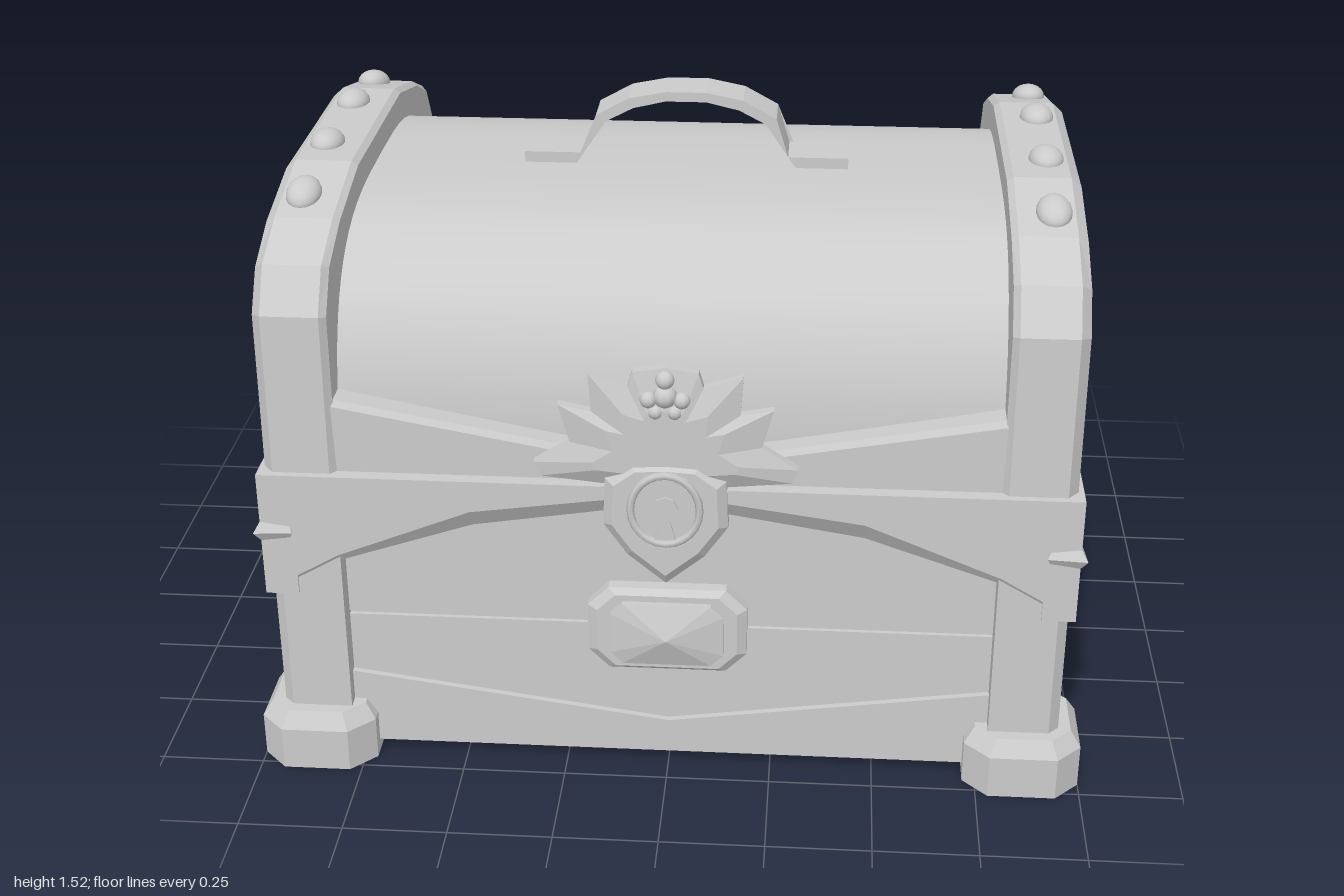
import * as THREE from 'three';
import { toCreasedNormals } from 'three/addons/utils/BufferGeometryUtils.js';

const grey = new THREE.MeshStandardMaterial({ color: 0xcccccc });

// Flat-shaded closed solid through rings of equal point count; winding is fixed by its volume.
function loft(rings) {
  const tris = [];
  const n = rings[0].length;
  for (let i = 0; i < rings.length - 1; i++) {
    for (let j = 0; j < n; j++) {
      const k = (j + 1) % n, a = rings[i], b = rings[i + 1];
      tris.push([a[j], a[k], b[k]], [a[j], b[k], b[j]]);
    }
  }
  const cap = (r, flip) => {
    const c = [0, 1, 2].map(d => r.reduce((s, p) => s + p[d], 0) / n);
    for (let j = 0; j < n; j++) {
      const k = (j + 1) % n;
      tris.push(flip ? [c, r[k], r[j]] : [c, r[j], r[k]]);
    }
  };
  cap(rings[0], true);
  cap(rings[rings.length - 1], false);
  const v = p => new THREE.Vector3(...p);
  const o = v(rings[0][0]);
  const volume = tris.reduce((s, t) => {
    const [a, b, c] = t.map(p => v(p).sub(o));
    return s + a.dot(b.cross(c));
  }, 0);
  const pos = tris.flatMap(t => (volume < 0 ? [t[0], t[2], t[1]] : t).flat());
  const g = new THREE.BufferGeometry();
  g.setAttribute('position', new THREE.Float32BufferAttribute(pos, 3));
  g.computeVertexNormals();
  return g;
}

// Band along x from stations [x, edge height, bevel]; the other edge is straight.
const band = (stations, straight, back, front) => loft(stations.map(([u, e, bev]) => [
  [u, straight, back], [u, straight, front], [u, e + bev, front],
  [u, e, front - Math.abs(bev) * 0.6], [u, e, back]]));

// Half list of stations mirrored to the full width.
const mirrored = half => [...half.map(([u, ...r]) => [-u, ...r]),
  ...half.filter(s => s[0] > 0).reverse()];

const octagon = (hx, hy, c) => [[hx - c, -hy], [hx, c - hy], [hx, hy - c], [hx - c, hy],
  [c - hx, hy], [-hx, hy - c], [-hx, c - hy], [c - hx, -hy]];

// Raised plate facing +z: outline rings as [scale, z], scaled about a centre height.
const plate = (pts, cy, levels) => loft(levels.map(([s, z]) =>
  pts.map(([x, y]) => [x * s, cy + (y - cy) * s, z])));

const symmetric = half => [...half, ...half.filter(p => p[0] > 0).reverse().map(([x, y]) => [-x, y])];

export function createModel() {
  const root = new THREE.Group();
  const add = (name, geo, x = 0, y = 0, z = 0, parent = root) => {
    const m = new THREE.Mesh(geo, grey);
    m.name = name;
    m.position.set(x, y, z);
    parent.add(m);
    return m;
  };
  const box = (w, h, d) => new THREE.BoxGeometry(w, h, d);

  // Planked body with a groove
  add('bodyCore', box(1.75, 0.74, 1.31), 0, 0.41, 0);
  add('lowerPlanks', box(1.77, 0.355, 1.33), 0, 0.2075, 0);
  add('upperPlanks', box(1.77, 0.395, 1.33), 0, 0.5925, 0);

  // Feet and corner posts
  for (const sx of [-1, 1]) for (const sz of [-1, 1]) {
    const ring = (h, y) => octagon(h, h, h * 0.42).map(([x, z]) => [x, y, z]);
    add('foot', loft([ring(0.14, 0), ring(0.14, 0.11), ring(0.115, 0.15)]), sx * 0.86, 0, sz * 0.63);
    const plan = [[0.775, 0.555], [0.945, 0.555], [0.945, 0.69], [0.92, 0.715], [0.775, 0.715]];
    add('cornerPost', loft([0.1, 0.79].map(y => plan.map(([x, z]) => [sx * x, y, sz * z]))));
  }

  // Upper trim bands
  const front = [[0.96, 0.47, 0.005], [0.78, 0.56, 0.02], [0.46, 0.66, 0.05], [0.14, 0.715, 0.04]];
  add('frontUpperTrim', band(mirrored(front), 0.79, 0.64, 0.72));
  add('backUpperTrim', band(mirrored([[0.78, 0.56, 0.03], ...front.slice(2)]), 0.79, 0.64, 0.715)).rotation.y = Math.PI;
  const side = mirrored([[0.56, 0.575, 0.02], [0, 0.72, 0.02]]);
  // Lower trim plates
  const skirt = (w, h, mid) => new THREE.ExtrudeGeometry(new THREE.Shape(
    [[-w, 0.03], [w, 0.03], [w, h], [0, mid], [-w, h]].map(p => new THREE.Vector2(...p))),
  { depth: 0.035, bevelEnabled: false });
  for (const s of [-1, 1]) {
    add('sideUpperTrim', band(side, 0.79, 0.86, 0.94)).rotation.y = s * Math.PI / 2;
    add('sideLowerTrim', skirt(0.57, 0.21, 0.10), s * 0.865).rotation.y = s * Math.PI / 2;
    add('endLowerTrim', skirt(0.78, 0.23, 0.12), 0, 0, s * 0.645).rotation.y = s > 0 ? 0 : Math.PI;
    // Front corner wrap and stud
    add('cornerWrap', loft([0.88, 0.96].map(x => [[0.55, 0.79], [0.72, 0.79], [0.72, 0.47], [0.55, 0.585]]
      .map(([z, y]) => [s * x, y, z]))));
    const stud = add('cornerStud', new THREE.OctahedronGeometry(1).toNonIndexed(), s * 0.925, 0.64, 0.685);
    stud.geometry.computeVertexNormals();
    stud.scale.set(0.06, 0.085, 0.07);
    stud.rotation.y = s * Math.PI / 4;
  }

  // Barrel lid
  const profile = [];
  for (let i = 0; i <= 32; i++) {
    const t = Math.PI * i / 32, c = Math.cos(t);
    profile.push(new THREE.Vector2(0.645 * Math.sign(c) * Math.abs(c) ** 0.6,
      0.795 + 0.535 * Math.max(0, Math.sin(t)) ** 0.75));
  }
  const barrel = new THREE.ExtrudeGeometry(new THREE.Shape(profile), { depth: 1.74, bevelEnabled: false });
  barrel.translate(0, 0, -0.87).rotateY(Math.PI / 2);
  add('lidBarrel', toCreasedNormals(barrel, 0.6));
  add('lidFrontTrim', band(mirrored([[0.78, 0.98, -0.015], [0.26, 0.885, -0.015], [0, 0.845, -0.015]]),
    0.797, 0.58, 0.70));

  // Lid end arches with rivets; each entry is [outer z, outer y, inner z, inner y]
  const archHalf = [[0.715, 0.797, 0.56, 0.797], [0.705, 1.19, 0.545, 1.14], [0.64, 1.29, 0.49, 1.195],
    [0.5, 1.35, 0.41, 1.255], [0.27, 1.405, 0.26, 1.29]];
  const arch = [...archHalf, ...[...archHalf].reverse().map(([a, b, c, d]) => [-a, b, -c, d])];
  for (const s of [-1, 1]) {
    add('lidArch', loft(arch.map(([oz, oy, iz, iy]) => {
      const at = (x, t) => [s * x, iy + (oy - iy) * t, iz + (oz - iz) * t];
      return [at(0.77, 0), at(0.925, 0), at(0.945, 0.12), at(0.945, 0.8), at(0.92, 1), at(0.785, 1), at(0.77, 0.9)];
    })));
    for (const [z, y, tilt] of [[-0.42, 1.372, -0.3], [-0.16, 1.405, 0], [0.145, 1.405, 0], [0.41, 1.374, 0.3]]) {
      const rivet = add('rivet', new THREE.SphereGeometry(1, 16, 10), s * 0.87, y, z);
      rivet.scale.set(0.042, 0.033, 0.057);
      rivet.rotation.x = tilt;
    }
    // Rear hinge leaf
    const leaf = octagon(0.168, 0.02, 0.012);
    add('hinge', loft([0.78, 0.815].map(y => leaf.map(([x, z]) => [x, y, z]))), s * 0.38, 0, -0.66);
  }

  // Carrying handle: [outer x, outer y, inner x, inner y]
  const gripHalf = [[0.4, 1.357, 0.4, 1.325], [0.252, 1.357, 0.275, 1.325], [0.222, 1.455, 0.197, 1.44],
    [0.14, 1.5, 0.13, 1.475], [0.05, 1.518, 0.05, 1.494]];
  const grip = [...gripHalf, ...[...gripHalf].reverse().map(([a, b, c, d]) => [-a, b, -c, d])];
  add('handle', loft(grip.map(([ox, oy, ix, iy]) =>
    [[ox, oy, -0.07], [ox, oy, 0.045], [ix, iy, 0.045], [ix, iy, -0.07]])));

  // Leafy lock crest with shield and keyhole
  const crest = symmetric([[0, 1.1], [0.075, 1.087], [0.086, 1.05], [0.176, 1.08], [0.17, 0.985],
    [0.246, 1.0], [0.22, 0.905], [0.305, 0.85], [0.29, 0.815], [0.14, 0.8], [0, 0.78]]);
  add('lockCrest', plate(crest, 0.88, [[1, 0.7], [1, 0.722], [0.55, 0.742]]));
  const shield = symmetric([[0, 0.87], [0.08, 0.865], [0.14, 0.82], [0.145, 0.7], [0.09, 0.62], [0, 0.545]]);
  add('lockShield', plate(shield, 0.74, [[1, 0.7], [1, 0.732], [0.85, 0.75]]));
  const ring = add('lockRing', new THREE.TorusGeometry(0.08, 0.009, 6, 24), 0, 0.75, 0.75);
  ring.scale.y = 1.12;
  const key = symmetric([[0, 0.785], [0.02, 0.777], [0.03, 0.755], [0.026, 0.735], [0.012, 0.722],
    [0.024, 0.675], [0, 0.672]]);
  add('keyhole', plate(key, 0.73, [[1, 0.74], [1, 0.755]]));
  const ornament = new THREE.Group();
  ornament.name = 'crestOrnament';
  root.add(ornament);
  for (const [x, y, r] of [[0, 1.035, 0.028], [-0.038, 1.025, 0.02], [0.038, 1.025, 0.02],
    [0, 1.075, 0.022], [-0.022, 0.995, 0.018], [0.022, 0.995, 0.018]])
    add('ornamentBead', new THREE.SphereGeometry(r, 10, 8), x, y, 0.733, ornament);

  // Front gem in its octagonal setting
  const setting = octagon(0.19, 0.112, 0.05).map(([x, y]) => [x, y + 0.393]);
  add('gemSetting', plate(setting, 0.393, [[1, 0.65], [1, 0.695], [0.88, 0.71]]));
  const gem = octagon(0.135, 0.083, 0.03);
  const gemRing = (sx, sy, z) => gem.map(([x, y]) => [x * sx, 0.393 + y * sy, z]);
  add('gem', loft([gemRing(1, 1, 0.68), gemRing(1, 1, 0.722), gemRing(0.01, 0.01, 0.752)]));

  return root;
}
